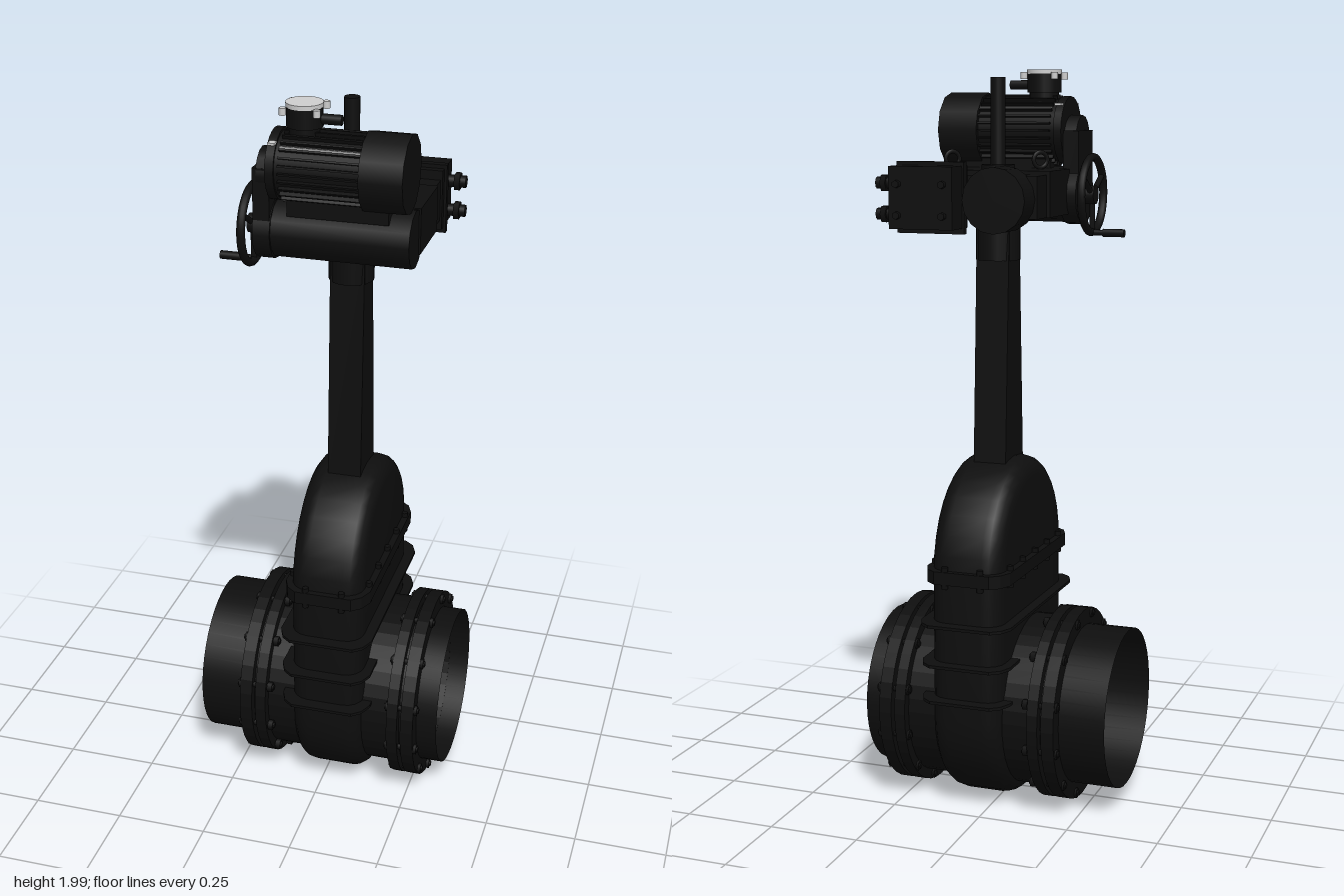
import * as THREE from 'three';
import { toCreasedNormals } from 'three/addons/utils/BufferGeometryUtils.js';

const CX = 0.035;   // centre plane of the gate body
const PY = 0.28;    // height of the pipe axis

export function createModel() {
  const model = new THREE.Group();
  const black = new THREE.MeshStandardMaterial({ color: 0x0e0e0e, side: THREE.DoubleSide });
  black.name = 'black paint';
  const light = new THREE.MeshStandardMaterial({ color: 0xd0d0d0 });
  light.name = 'light grey';

  const add = (name, geo, x = 0, y = 0, z = 0, mat = black) => {
    const m = new THREE.Mesh(geo, mat);
    m.name = name;
    m.position.set(x, y, z);
    model.add(m);
    return m;
  };
  const box = (name, x0, x1, y0, y1, z0, z1, mat) =>
    add(name, new THREE.BoxGeometry(x1 - x0, y1 - y0, z1 - z0), (x0 + x1) / 2, (y0 + y1) / 2, (z0 + z1) / 2, mat);
  // cylinders along each axis
  const cylX = (name, r, x0, x1, y, z, n = 24) =>
    add(name, new THREE.CylinderGeometry(r, r, x1 - x0, n).rotateZ(Math.PI / 2), (x0 + x1) / 2, y, z);
  const cylY = (name, r, y0, y1, x, z, n = 20, mat) =>
    add(name, new THREE.CylinderGeometry(r, r, y1 - y0, n), x, (y0 + y1) / 2, z, mat);
  const cylZ = (name, r, z0, z1, x, y, n = 20) =>
    add(name, new THREE.CylinderGeometry(r, r, z1 - z0, n).rotateX(Math.PI / 2), x, y, (z0 + z1) / 2);
  // hollow ring along x
  const ringX = (name, r, inner, x0, x1) => {
    const s = new THREE.Shape().absarc(0, 0, r, 0, Math.PI * 2);
    s.holes.push(new THREE.Path().absarc(0, 0, inner, 0, Math.PI * 2, true));
    const g = new THREE.ExtrudeGeometry(s, { depth: x1 - x0, bevelEnabled: false, curveSegments: 20 });
    return add(name, g.rotateY(Math.PI / 2), x0, PY, 0);
  };

  // Gate body: rounded slab with an arched top, swept from bore to bore
  const N = 32, angles = [];
  for (let i = 0; i <= N; i++) {
    angles.push([i, i === 0 || i > N / 2 ? PY : 0.68]);
    if (i === 0) angles.push([0, 0.68]);
    if (i === N / 2) angles.push([i, PY]);
  }
  const sections = [[-0.1, 0]];
  for (let i = 0; i <= 4; i++) {
    const a = i * Math.PI / 8;
    sections.push([-0.05 - 0.05 * Math.cos(a), 0.22 + 0.05 * Math.sin(a)]);
  }
  for (let i = 5; i >= 0; i--) sections.push([-sections[i][0], sections[i][1]]);
  const pos = [], idx = [], row = angles.length;
  sections.forEach(([x, r], s) => angles.forEach(([i, base], k) => {
    const a = i / N * Math.PI * 2;
    if (r === 0) pos.push(x, PY + 0.22 * Math.sin(a), 0.22 * Math.cos(a));
    else pos.push(x, base + (r + (base > 0.5 ? 0.015 : 0)) * Math.sin(a), r * Math.cos(a));
    if (s && k) {
      const p = s * row + k;
      idx.push(p - row - 1, p - 1, p, p - row - 1, p, p - row);
    }
  }));
  const bodyGeo = new THREE.BufferGeometry();
  bodyGeo.setAttribute('position', new THREE.Float32BufferAttribute(pos, 3));
  bodyGeo.setIndex(idx);
  bodyGeo.computeVertexNormals();
  add('gateBody', toCreasedNormals(bodyGeo, 0.6), CX, 0, 0);

  // Pipe and flanges
  add('pipe', new THREE.CylinderGeometry(0.22, 0.22, 0.685, 40, 1, true).rotateZ(Math.PI / 2), 0, PY, 0);
  ringX('leftNeck', 0.237, 0.219, 0.12, 0.22);
  ringX('rightNeck', 0.237, 0.219, -0.15, -0.05);
  [[-0.215, -0.18], [-0.17, -0.14], [0.21, 0.24], [0.25, 0.285]].forEach(([a, b]) =>
    ringX('flange', 0.265, 0.219, a, b));
  ringX('rightGasket', 0.24, 0.219, -0.182, -0.168);
  ringX('leftGasket', 0.24, 0.219, 0.238, 0.252);
  for (const [x0, x1] of [[-0.225, -0.12], [0.2, 0.297]]) {
    for (let i = 0; i < 12; i++) {
      const a = (i + 0.5) * Math.PI / 6, y = PY + 0.25 * Math.sin(a), z = 0.25 * Math.cos(a);
      cylX('flangeBolt', 0.008, x0, x1, y, z, 6);
      cylX('boltHead', 0.014, x0 + 0.004, x0 + 0.018, y, z, 6);
      cylX('boltNut', 0.014, x1 - 0.018, x1 - 0.004, y, z, 6);
    }
  }

  // Bonnet flange and stiffening ribs: plates with cut corners
  const plate = (name, y, t, zMax, half, zMin) => {
    const end = [[half, zMin], [half, zMax - 0.055], [half - 0.015, zMax - 0.02], [half - 0.04, zMax]];
    const pts = [...end, ...end.map(([x, z]) => [-x, z]).reverse()];
    const shape = new THREE.Shape(pts.map(p => new THREE.Vector2(...p)));
    for (const turn of [0, Math.PI]) {
      const g = new THREE.ExtrudeGeometry(shape, { depth: t, bevelEnabled: false });
      add(name, g.rotateX(Math.PI / 2).rotateY(turn), CX, y + t / 2, 0);
    }
  };
  plate('bonnetFlange', 0.68, 0.035, 0.285, 0.118, 0);
  plate('upperRib', 0.55, 0.008, 0.305, 0.128, 0);
  plate('middleRib', 0.44, 0.008, 0.305, 0.125, 0.17);
  plate('lowerRib', 0.34, 0.008, 0.305, 0.125, 0.23);
  for (const s of [-1, 1]) {
    for (const z of [-0.2, -0.1, 0, 0.1, 0.2]) cylY('bonnetBolt', 0.009, 0.65, 0.71, CX + s * 0.107, z, 6);
    for (const x of [-0.05, 0.05]) cylY('bonnetBolt', 0.009, 0.65, 0.71, CX + x, s * 0.276, 6);
  }

  // Tapered yoke column and its collar
  const column = new THREE.BoxGeometry(0.092, 0.65, 0.14);
  const p = column.attributes.position;
  for (let i = 0; i < p.count; i++) if (p.getY(i) > 0) p.setZ(i, p.getZ(i) * 0.58);
  column.computeVertexNormals();
  add('yokeColumn', column, CX, 1.265, 0);
  cylY('yokeCollar', 0.06, 1.5, 1.595, CX, 0);
  cylY('collarNeck', 0.045, 1.59, 1.63, CX, 0);
  cylY('stem', 0.02, 1.7, 1.98, CX, 0);
  cylY('stemNut', 0.045, 1.73, 1.752, CX, 0);

  // Gearbox
  box('gearbox', -0.14, 0.24, 1.62, 1.74, -0.085, 0.1);
  cylX('inputHousing', 0.075, -0.14, 0.235, 1.67, 0.13, 12);
  for (const x of [-0.08, 0.17]) {
    const eye = add('liftingEye', new THREE.TorusGeometry(0.02, 0.006, 8, 16), x, 1.765, 0.012);
    eye.rotation.y = Math.PI / 4;
  }

  // Control housing at the back, with covers and cable glands
  box('controlHousing', -0.13, 0.23, 1.62, 1.73, -0.16, -0.08);
  cylZ('controlCover', 0.085, -0.24, -0.15, -0.04, 1.67, 16);
  box('terminalBox', 0.06, 0.235, 1.595, 1.755, -0.27, -0.16);
  box('terminalFlange', 0.055, 0.242, 1.58, 1.765, -0.2, -0.18);
  for (const y of [1.63, 1.71]) {
    cylX('cableGland', 0.016, 0.23, 0.285, y, -0.225, 10);
    cylX('glandNut', 0.024, 0.255, 0.27, y, -0.225, 6);
    for (const x of [0.085, 0.21]) cylZ('coverBolt', 0.01, -0.285, -0.265, x, y, 6);
  }

  // Transmission cover between motor and hand input
  cylX('lowerTransmission', 0.08, -0.165, -0.12, 1.67, 0.13, 16);
  box('transmissionCover', -0.165, -0.122, 1.67, 1.84, 0.075, 0.2);
  cylX('upperTransmission', 0.06, -0.155, -0.115, 1.82, 0.143, 16);

  // Motor with fins, fan cover and terminal cap
  const MY = 1.84, MZ = 0.143;
  cylX('motorFlange', 0.09, -0.122, -0.1, MY, MZ);
  cylX('motorDrum', 0.084, -0.1, 0.12, MY, MZ);
  cylX('fanCover', 0.1, 0.115, 0.225, MY, MZ, 12);
  for (let i = 0; i < 28; i++) {
    const a = i / 28 * Math.PI * 2;
    const fin = box('motorFin', -0.09, 0.115, MY - 0.006, MY + 0.006, MZ - 0.0025, MZ + 0.0025);
    fin.position.y = MY + 0.088 * Math.cos(a);
    fin.position.z = MZ + 0.088 * Math.sin(a);
    fin.rotation.x = a;
  }
  for (const s of [-1, 1]) {
    box('finStrip', -0.09, 0.115, MY + 0.059, MY + 0.063, MZ + s * 0.065 - 0.003, MZ + s * 0.065 + 0.003, light);
    box('flangeStrip', -0.118, -0.1, MY + 0.066, MY + 0.072, MZ + s * 0.063 - 0.012, MZ + s * 0.063 + 0.012, light);
  }
  box('motorFoot', -0.08, 0.18, 1.72, 1.78, 0.09, 0.19);
  cylY('terminalNeck', 0.04, 1.91, 1.95, -0.045, MZ);
  cylY('terminalHousing', 0.046, 1.94, 1.99, -0.045, MZ);
  cylY('terminalCap', 0.047, 1.989, 2, -0.045, MZ, 32, light);
  for (const sx of [-1, 1]) for (const sz of [-1, 1]) {
    cylY('capLug', 0.009, 1.975, 1.993, -0.045 + sx * 0.043, MZ + sz * 0.043, 10, light);
  }
  cylX('motorGland', 0.013, -0.01, 0.05, 1.96, MZ, 10);

  // Handwheel with spokes and crank handle
  const WY = 1.67, WZ = 0.122;
  add('handwheelRim', new THREE.TorusGeometry(0.1, 0.011, 10, 36).rotateY(Math.PI / 2), -0.19, WY, WZ);
  cylX('handwheelHub', 0.025, -0.2, -0.16, WY, WZ);
  for (let i = 0; i < 3; i++) {
    const a = i * Math.PI * 2 / 3 + Math.PI;
    const spoke = cylY('handwheelSpoke', 0.008, 0, 0.1, -0.19, WZ, 8);
    spoke.position.set(-0.19, WY + 0.05 * Math.cos(a), WZ + 0.05 * Math.sin(a));
    spoke.rotation.x = a;
  }
  cylX('crankHandle', 0.008, -0.285, -0.19, 1.57, 0.108, 10);
  cylX('crankGrip', 0.011, -0.285, -0.225, 1.57, 0.108, 10);
  return model;
}
